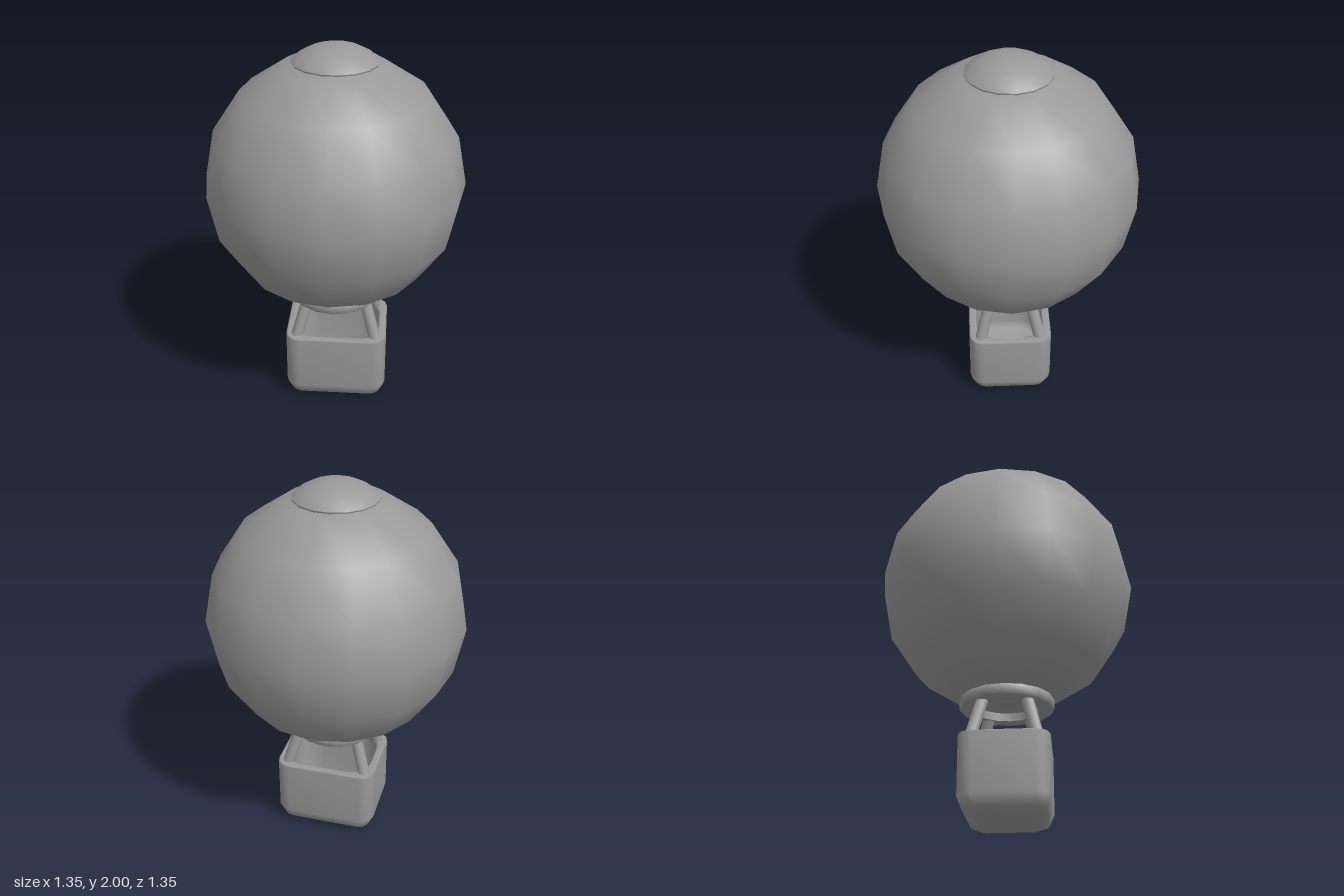
import * as THREE from 'three';
import { toCreasedNormals } from 'three/addons/utils/BufferGeometryUtils.js';

const material = new THREE.MeshStandardMaterial({ color: 0x999999 });

function addMesh(parent, name, geometry) {
  const mesh = new THREE.Mesh(geometry, material);
  mesh.name = name;
  parent.add(mesh);
  return mesh;
}

// Turned part from [radius, height] pairs, listed from bottom to top on the outside
function turned(profile, sides, crease) {
  const points = profile.map(([r, y]) => new THREE.Vector2(r, y));
  return toCreasedNormals(new THREE.LatheGeometry(points, sides), crease);
}

// Rounded rectangle loop, corner by corner
function roundedLoop(halfX, halfZ, radius, y, steps = 3) {
  const loop = [];
  for (let c = 0; c < 4; c++) {
    const sx = c === 0 || c === 3 ? 1 : -1;
    const sz = c < 2 ? 1 : -1;
    for (let s = 0; s <= steps; s++) {
      const a = (c + s / steps) * Math.PI / 2;
      loop.push([
        sx * (halfX - radius) + radius * Math.cos(a), y,
        sz * (halfZ - radius) + radius * Math.sin(a),
      ]);
    }
  }
  return loop;
}

// Smooth skin joining successive loops
function skin(loops) {
  const n = loops[0].length;
  const index = [];
  for (let k = 0; k < loops.length - 1; k++) {
    for (let i = 0; i < n; i++) {
      const j = (i + 1) % n;
      const a = k * n + i, b = k * n + j, c = b + n, d = a + n;
      index.push(a, c, b, a, d, c);
    }
  }
  const geometry = new THREE.BufferGeometry();
  geometry.setAttribute('position', new THREE.Float32BufferAttribute(loops.flat(2), 3));
  geometry.setIndex(index);
  geometry.computeVertexNormals();
  return geometry;
}

// Round bar between two points
function addBar(parent, name, from, to, radius) {
  const axis = to.clone().sub(from);
  const bar = addMesh(parent, name, new THREE.CylinderGeometry(radius, radius, axis.length(), 12));
  bar.position.copy(from).add(to).multiplyScalar(0.5);
  bar.quaternion.setFromUnitVectors(new THREE.Vector3(0, 1, 0), axis.normalize());
}

export function createModel() {
  const model = new THREE.Group();
  model.name = 'hotAirBalloon';

  // Envelope: smooth-shaded, coarse sphere
  const envelope = addMesh(model, 'envelope', new THREE.SphereGeometry(0.677, 16, 8));
  envelope.position.y = 1.275;

  // Shallow dome on the crown
  const crown = addMesh(model, 'crownCap', turned([
    [0, 1.9], [0.214, 1.9], [0.219, 1.917], [0.185, 1.947],
    [0.13, 1.976], [0.07, 1.994], [0, 2],
  ], 16, 0.9));
  crown.position.set(0.003, 0, -0.003);
  crown.rotation.y = 0.12;

  // Mouth ring below the envelope
  const collar = addMesh(model, 'mouthRing', turned([
    [0.165, 0.65], [0.165, 0.588], [0.238, 0.588], [0.247, 0.597],
    [0.247, 0.636], [0.238, 0.648], [0.165, 0.65],
  ], 16, 0.9));
  collar.position.x = 0.004;

  // Open basket: underside, rounded lower edge, walls, rim, inside, floor
  const basket = new THREE.Group();
  basket.name = 'basketAssembly';
  basket.position.x = 0.017;
  model.add(basket);
  // Each level: inset from the outer wall, height, corner radius
  const levels = [
    [0.09, 0, 0.02], [0.027, 0.027, 0.06], [0, 0.09, 0.075], [0, 0.393, 0.075],
    [0.007, 0.4, 0.07], [0.038, 0.4, 0.105], [0.045, 0.393, 0.11],
    [0.045, 0.09, 0.11], [0.07, 0.05, 0.09],
  ];
  const loops = levels.map(([inset, y, radius]) =>
    roundedLoop(0.276 - inset, 0.228 - inset, radius, y));
  const toCentre = (loop) => loop.map(([, y]) => [0, y, 0]);
  addMesh(basket, 'basket', skin(
    [toCentre(loops[0]), ...loops, toCentre(loops[loops.length - 1])]));

  // Four leaning struts from the basket corners to the ring
  for (const sx of [-1, 1]) {
    for (const sz of [-1, 1]) {
      const name = (sz > 0 ? 'front' : 'back') + (sx > 0 ? 'Left' : 'Right') + 'Strut';
      addBar(basket, name,
        new THREE.Vector3(sx * 0.217, 0.385, sz * 0.163),
        new THREE.Vector3(sx * 0.153, 0.61, sz * 0.11), 0.032);
    }
  }

  return model;
}
